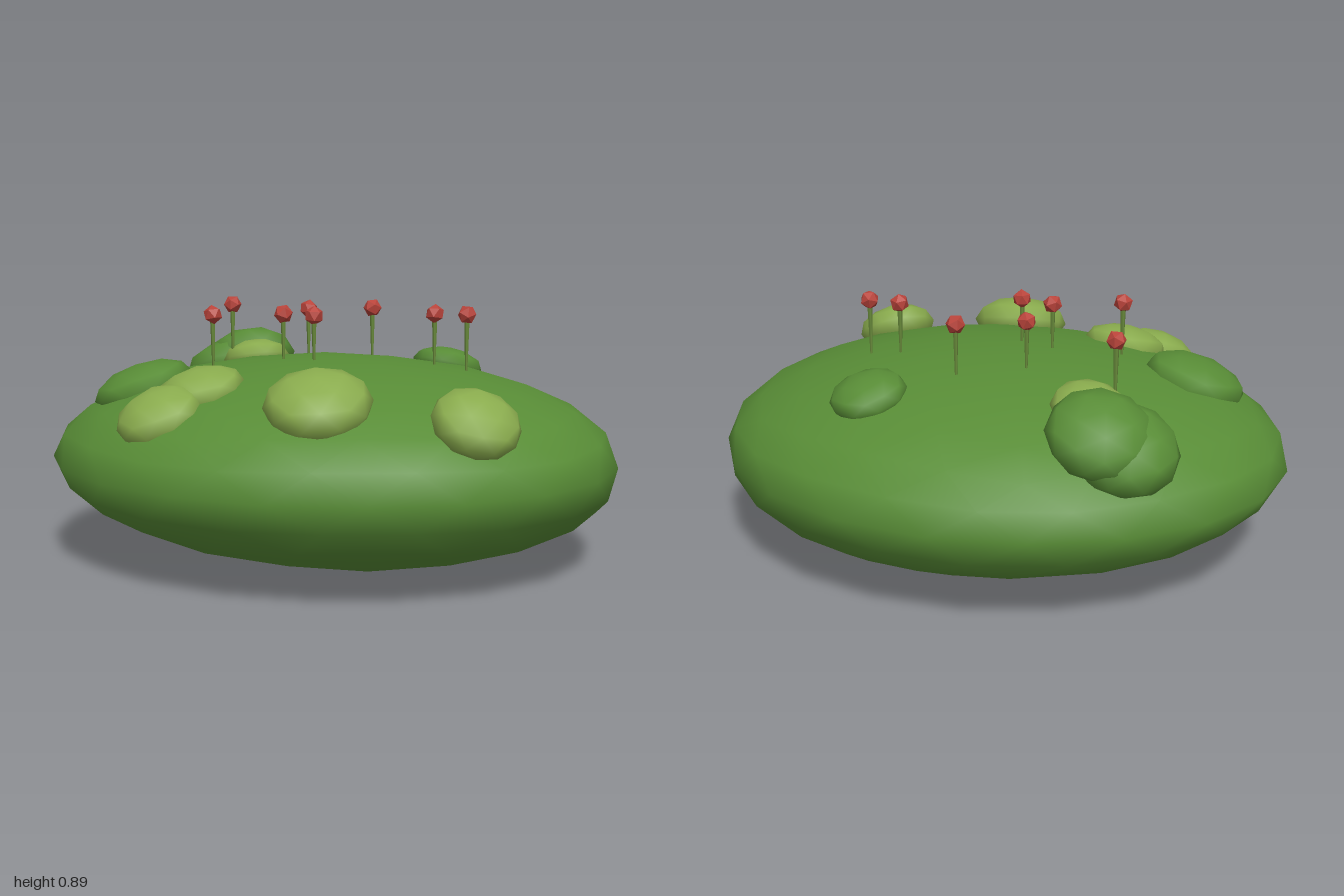
import * as THREE from 'three';

const mat = (name, color, extra = {}) => {
  const m = new THREE.MeshStandardMaterial({ color, ...extra });
  m.name = name;
  return m;
};

const RX = 1, RY = 0.353, RZ = 0.84, CY = 0.355;

// Height of the mound above a ground position
const moundY = (x, z) => CY + RY * Math.sqrt(Math.max(0, 1 - (x / RX) ** 2 - (z / RZ) ** 2));

// Smooth low-poly sphere with a vertex at each pole
function blob(detail) {
  return new THREE.IcosahedronGeometry(1, detail)
    .rotateZ(Math.atan(2 / (1 + Math.sqrt(5))));
}

export function createModel() {
  const root = new THREE.Group();
  root.name = 'flowerMound';

  const grass = mat('grassGreen', 0x588c36);
  const leaf = mat('lightLeafGreen', 0x89ab4d);
  const stemGreen = mat('stemGreen', 0x6a8c3c);
  const red = mat('petalRed', 0xb8433a, { flatShading: true });

  // Grassy mound: flattened ball whose underside leans slightly to +x
  const moundGeo = blob(3).scale(RX, RY, RZ);
  const p = moundGeo.attributes.position;
  for (let i = 0; i < p.count; i++) {
    const y = p.getY(i);
    if (y < 0) p.setX(i, Math.max(-1, Math.min(1, p.getX(i) - 0.22 * y)));
  }
  const mound = new THREE.Mesh(moundGeo, grass);
  mound.name = 'mound';
  mound.position.y = CY;
  root.add(mound);

  // Bushes: [x, y, z, radius, thickness, material], leaning with the slope
  const bushes = [
    [-0.65, 0.6, 0.15, 0.18, 0.08, grass],
    [-0.47, 0.63, -0.54, 0.175, 0.105, grass],
    [-0.54, 0.58, -0.51, 0.18, 0.11, grass],
    [0.34, 0.637, -0.42, 0.132, 0.065, grass],
    [-0.39, 0.65, -0.36, 0.125, 0.07, leaf],
    [-0.35, 0.63, 0.39, 0.15, 0.07, leaf],
    [-0.44, 0.56, 0.53, 0.15, 0.085, leaf],
    [0.1, 0.625, 0.565, 0.175, 0.095, leaf],
    [0.59, 0.575, 0.51, 0.146, 0.085, leaf],
  ];
  const up = new THREE.Vector3(0, 1, 0);
  const bushGeo = blob(1);
  bushes.forEach(([x, y, z, r, t, m], i) => {
    const bush = new THREE.Mesh(bushGeo, m);
    bush.name = `bush${i + 1}`;
    bush.position.set(x, y, z);
    bush.scale.set(r, t, r);
    const normal = new THREE.Vector3(x / RX ** 2, (moundY(x, z) - CY) / RY ** 2, z / RZ ** 2).normalize();
    bush.quaternion.setFromUnitVectors(up, normal);
    root.add(bush);
  });

  // Flowers: faceted red heads on thin stems that widen upward
  const flowers = [
    [-0.46, -0.29], [-0.13, -0.17], [0.085, -0.27], [-0.16, 0.055],
    [-0.04, 0.09], [-0.39, 0.14], [0.35, -0.085], [0.465, -0.075],
  ];
  const headGeo = new THREE.IcosahedronGeometry(0.034, 0);
  flowers.forEach(([x, z], i) => {
    const flower = new THREE.Group();
    flower.name = `flower${i + 1}`;
    const base = moundY(x, z) - 0.02, top = 0.845;

    const stem = new THREE.Mesh(new THREE.CylinderGeometry(0.01, 0.004, top - base, 5), stemGreen);
    stem.name = 'stem';
    stem.position.set(x, (base + top) / 2, z);

    const head = new THREE.Mesh(headGeo, red);
    head.name = 'flowerHead';
    head.position.set(x, 0.857, z);
    head.rotation.set(0.4 * i, 1.3 * i, 0);

    flower.add(stem, head);
    root.add(flower);
  });

  return root;
}
